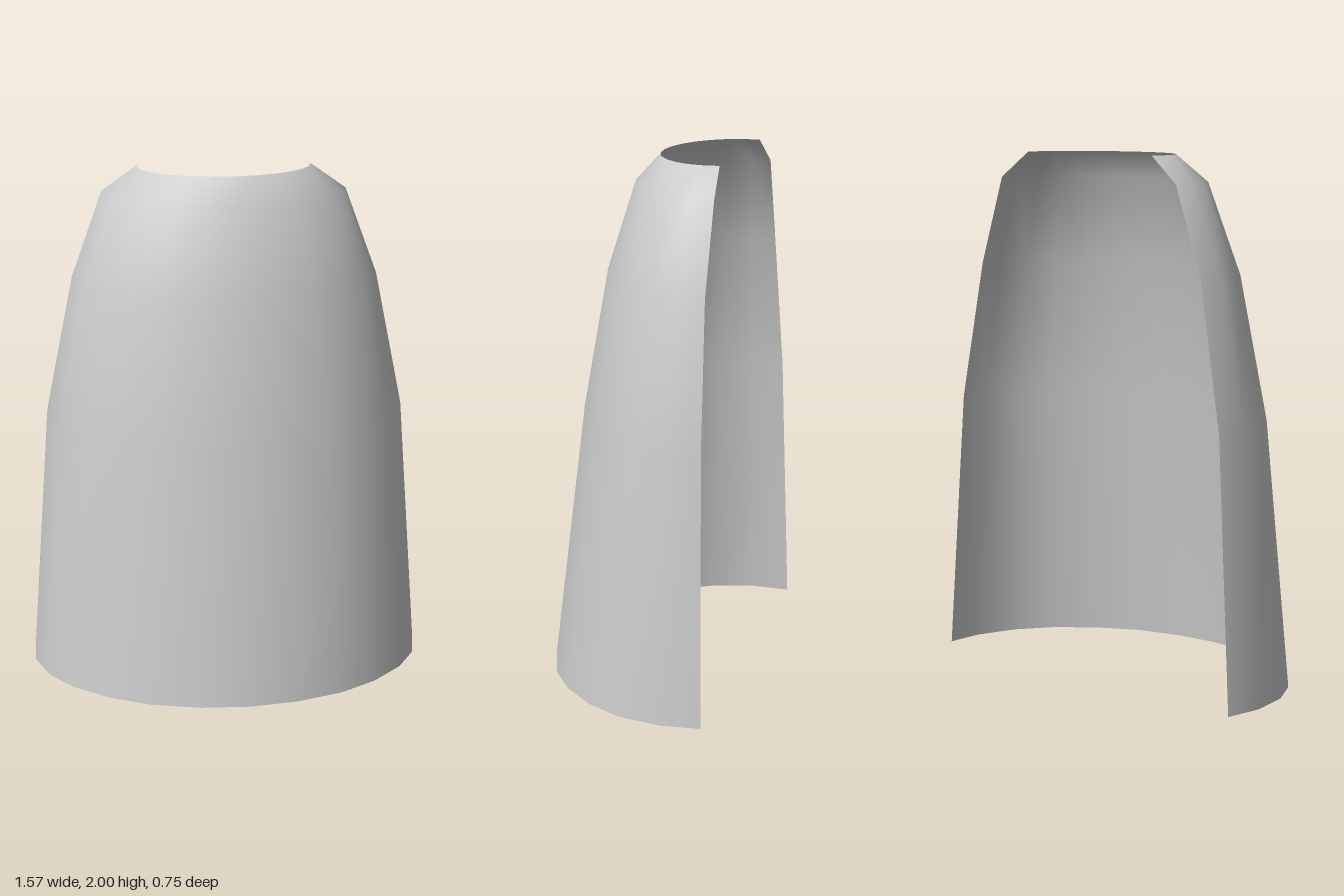
import * as THREE from 'three';

// Half of the horizontal curve, centre front to back edge:
// [share of the half width, share of the depth]
const HALF = [[0, 0], [0.24, 0.026], [0.48, 0.104], [0.677, 0.23], [0.84, 0.395], [0.947, 0.578], [1, 0.8], [0.988, 1]];

// Rings from hem to collar: [height, half width, front z, back z]
const RINGS = [
  [0, 0.785, 0.375, -0.378],
  [1.02, 0.713, 0.252, -0.357],
  [1.56, 0.604, 0.16, -0.342],
  [1.9, 0.48, 0.055, -0.344],
  [2, 0.34, -0.035, -0.33],
];

export function createModel() {
  const group = new THREE.Group();
  const cloth = new THREE.MeshStandardMaterial({ color: 0xcccccc, side: THREE.DoubleSide });
  cloth.name = 'light grey cloth';

  // Mirror the half curve so it runs from -x to +x
  const curve = [...HALF.slice(1).reverse().map(([u, v]) => [-u, v]), ...HALF];
  const n = curve.length;
  const positions = [];
  const index = [];
  RINGS.forEach(([y, width, front, back], i) => {
    curve.forEach(([u, v], j) => {
      positions.push(u * width, y, front + (back - front) * v);
      if (i < RINGS.length - 1 && j < n - 1) {
        const a = i * n + j;
        index.push(a, a + 1, a + n + 1, a, a + n + 1, a + n);
      }
    });
  });

  // Open, tapering cape with smooth normals
  const geometry = new THREE.BufferGeometry();
  geometry.setAttribute('position', new THREE.Float32BufferAttribute(positions, 3));
  geometry.setIndex(index);
  geometry.computeVertexNormals();
  const cape = new THREE.Mesh(geometry, cloth);
  cape.name = 'cape';
  group.add(cape);
  return group;
}
